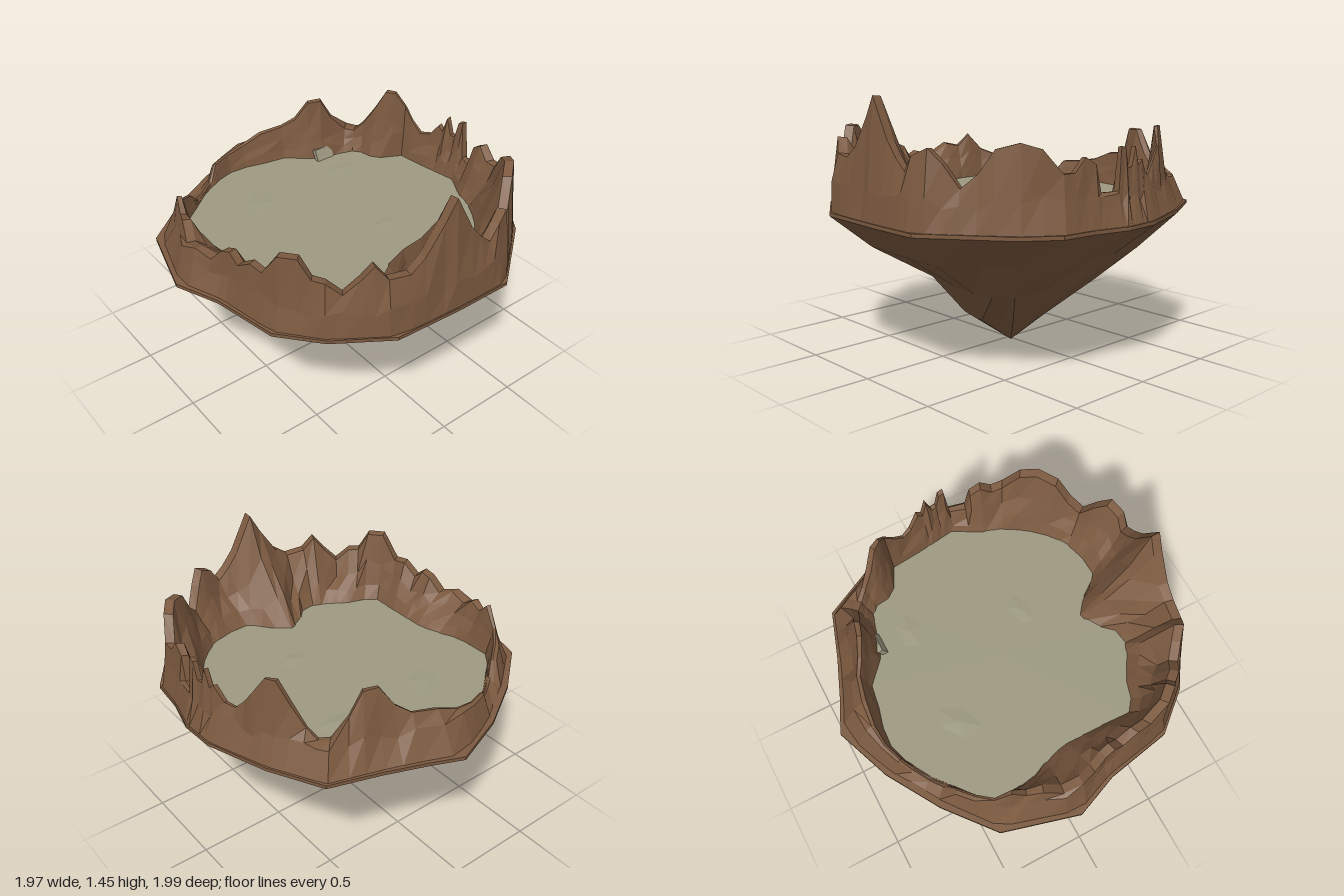
import * as THREE from 'three';

const rock = new THREE.MeshStandardMaterial({ color: 0x7c5a40, flatShading: true });
rock.name = 'brown rock';
const ground = new THREE.MeshStandardMaterial({ color: 0x9d9981, flatShading: true });
ground.name = 'pale ground';

const FLOOR_Y = .845;

// Plan outlines as [x, z], running anticlockwise seen from above
const OUTLINE = [[.05, .99], [.38, .99], [.6, .82], [.78, .68], [.91, .5], [.93, .3], [.98, .1], [.97, -.1],
  [.85, -.45], [.7, -.74], [.43, -.83], [.2, -.92], [.02, -1], [-.3, -.88], [-.6, -.7], [-.87, -.48],
  [-.99, -.05], [-.89, .2], [-.82, .57], [-.64, .78], [-.35, .97]];
const FLOOR = [[0, .49], [.1, .57], [.16, .69], [.3, .69], [.45, .65], [.58, .55], [.69, .4], [.74, .25], [.83, .1],
  [.8, -.1], [.78, -.3], [.62, -.38], [.6, -.52], [.45, -.56], [.33, -.59], [.15, -.75], [0, -.74], [-.1, -.79],
  [-.25, -.77], [-.43, -.66], [-.7, -.45], [-.7, -.2], [-.65, -.1], [-.6, .03], [-.62, .48], [-.45, .53],
  [-.3, .62], [-.2, .66], [-.1, .55]];

// Crest heights around the rim as [degrees from the front towards +x, height]
const CREST = [[-175, .98], [-167, .96], [-159, .95], [-154, .87], [-147, .85], [-141, .86], [-135, .94],
  [-128, .98], [-121, 1.02], [-115, 1.12], [-110, 1.05], [-104, 1.07], [-97, 1], [-90, 1.03], [-84, 1],
  [-79, 1.08], [-75, 1.1], [-71, 1.05], [-65, 1.11], [-60, 1.1], [-54, 1.24], [-48, 1.24], [-44, 1.13],
  [-40, 1.12], [-35, 1.05], [-30, 1.13], [-26, 1.21], [-22, 1.13], [-15, 1.12], [-10, 1.18], [-3, 1.34],
  [1, 1.45], [8, 1.24], [12, 1.16], [16, 1.1], [19, 1.18], [24, 1.22], [28, 1.15], [33, 1.03], [38, 1.1],
  [43, 1.22], [50, 1.25], [56, 1.22], [62, 1.1], [66, 1.1], [70, 1.17], [74, 1.13], [76, .99], [82, .99],
  [83.5, 1.21], [85.5, 1.2], [87, 1.1], [89, 1.1], [91, 1.2], [93, 1.1], [95, 1.13], [99, 1.05], [103, 1.04],
  [107, 1.1], [111, 1.18], [115, 1.27], [119, 1.27], [124, 1.14], [129, 1.03], [133, .97], [137, .98],
  [143, 1.08], [148, 1.21], [154, 1.21], [160, 1.1], [166, 1.05], [176, 1.03]];

// Repeatable jitter between -1 and 1
let seed = 7;
function jitter() {
  seed = (seed * 16807) % 2147483647;
  return (seed / 2147483647) * 2 - 1;
}

// Distance from the centre to a plan outline along an angle
function reach(outline, angle) {
  const dx = Math.sin(angle), dz = Math.cos(angle);
  let best = 0;
  outline.forEach(([px, pz], i) => {
    const [qx, qz] = outline[(i + 1) % outline.length];
    const ex = qx - px, ez = qz - pz, det = dx * ez - dz * ex;
    if (Math.abs(det) < 1e-9) return;
    const t = (px * ez - pz * ex) / det, s = (px * dz - pz * dx) / det;
    if (t > 0 && s >= -1e-6 && s <= 1 + 1e-6) best = Math.max(best, t);
  });
  return best;
}

const polar = (angle, r, y) => [Math.sin(angle) * r, y, Math.cos(angle) * r];

// Joins closed rings of equal length with faces
function loft(name, rings, material) {
  const n = rings[0].length, index = [];
  for (let i = 0; i < rings.length - 1; i++) {
    for (let j = 0; j < n; j++) {
      const a = i * n + j, b = i * n + (j + 1) % n;
      index.push(a, b, b + n, a, b + n, a + n);
    }
  }
  const geometry = new THREE.BufferGeometry();
  geometry.setAttribute('position', new THREE.Float32BufferAttribute(rings.flat(2), 3));
  geometry.setIndex(index);
  geometry.computeVertexNormals();
  const mesh = new THREE.Mesh(geometry, material);
  mesh.name = name;
  return mesh;
}

// Pointed rock underside with a bulge low on the front and a thin slab edge on top
function makeUnderside() {
  // height, scale, roughness, forward push of the front
  const levels = [[0, 0, 0, 0], [.2, .25, .025, .06], [.41, .5, .025, -.03], [.61, .75, .02, .02],
    [.8, 1, 0, 0], [.82, 1, 0, 0], [.82, 0, 0, 0]];
  const rings = levels.map(([y, scale, rough, push]) => OUTLINE.map(([x, z]) => {
    const s = scale + jitter() * rough, shift = y < .8 ? Math.min(.04, .1 * (1 - y / .8)) : 0;
    return [x * s + shift, y + jitter() * rough * .6, z * s + shift * .5 + (z > .9 ? push : 0)];
  }));
  return loft('underside', rings, rock);
}

// Jagged wall: outer face, crest, then a concave slope down to the floor
function makeRim() {
  const rings = Array.from({ length: 7 }, () => []);
  for (const [deg, h] of CREST) {
    const a = deg * Math.PI / 180, front = Math.cos(a), side = Math.sin(a);
    const out = reach(OUTLINE, a) - (.022 - .016 * Math.max(side, front));
    const inner = reach(FLOOR, a);
    const top = out - Math.min(.11 - .06 * front - .045 * side * side, (out - inner) * .65);
    const lip = Math.min(.05, (top - inner) * .3);
    const slope = (f, k) => polar(a, top - lip + (inner - top + lip) * (f + jitter() * .09),
      FLOOR_Y + (h - FLOOR_Y) * (k + jitter() * .08));
    const shoulder = Math.min(.96 + jitter() * .04, h - .01);
    const lean = Math.min(.012 + .035 * (1 - front), (out - top) * .7);
    rings[0].push(polar(a, out, .815));
    rings[1].push(polar(a, out - lean + jitter() * .008, shoulder));
    rings[2].push(polar(a, top, h));
    rings[3].push(polar(a, top - lip, h - .005));
    rings[4].push(slope(.3, .58));
    rings[5].push(slope(.65, .27));
    rings[6].push(polar(a, inner, FLOOR_Y - .015));
  }
  return loft('rockyRim', rings, rock);
}

// Level floor inside the rim
function makeFloor() {
  const rings = [[], []];
  for (let j = 0; j < 72; j++) {
    const a = j * Math.PI / 36;
    rings[0].push(polar(a, reach(FLOOR, a) + .02, FLOOR_Y));
    rings[1].push([0, FLOOR_Y, 0]);
  }
  return loft('floor', rings, ground);
}

export function createModel() {
  const model = new THREE.Group();
  model.name = 'floatingCrater';
  model.add(makeUnderside(), makeRim(), makeFloor());

  // Low swells in the floor
  for (const [x, z, r, turn] of [[-.23, -.4, .16, .7], [.2, .22, .12, .2], [.38, -.4, .14, 0]]) {
    const swell = new THREE.Mesh(new THREE.ConeGeometry(r, .008, 5), ground);
    swell.name = 'floorSwell';
    swell.position.set(x, FLOOR_Y + .003, z);
    swell.rotation.y = turn;
    swell.scale.z = .6;
    model.add(swell);
  }

  // Small pale slab leaning on the back wall
  const outcrop = new THREE.Mesh(new THREE.BoxGeometry(.12, .09, .03), ground);
  outcrop.name = 'outcrop';
  outcrop.position.set(.38, .865, -.585);
  outcrop.rotation.x = -.4;
  model.add(outcrop);
  return model;
}
